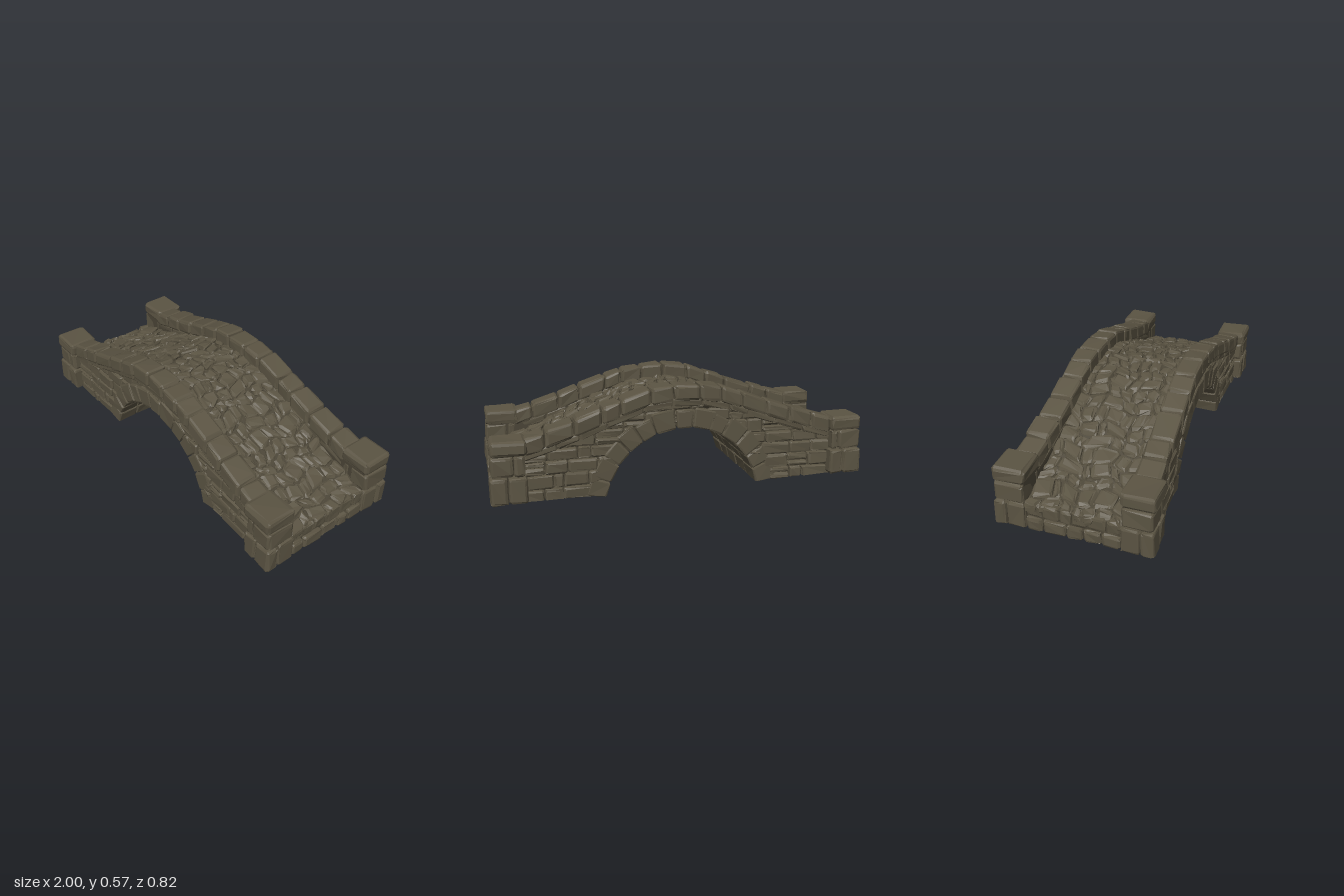
import * as THREE from 'three';
import { mergeGeometries } from 'three/addons/utils/BufferGeometryUtils.js';
import { RoundedBoxGeometry } from 'three/addons/geometries/RoundedBoxGeometry.js';

// Seeded random numbers
let seed = 7;
const rnd = () => {
  seed = (seed * 16807) % 2147483647;
  return seed / 2147483647;
};

// Profiles sampled every 0.2 from the crown to the end
const TOP = [0.568, 0.545, 0.475, 0.405, 0.345, 0.32];
const DECK = [0.502, 0.474, 0.4, 0.31, 0.225, 0.172];
const sample = (table, x) => {
  const t = Math.min(Math.abs(x), 0.9999) * 5, i = Math.floor(t);
  return THREE.MathUtils.lerp(table[i], table[i + 1], t - i);
};
const top = (x) => sample(TOP, x);
const deck = (x) => sample(DECK, x);
const halfWidth = (x) => 0.345 + 0.035 * x * x;
const shift = (x) => 0.01 * Math.max(0, 1 - x * x);
const base = (x) => Math.max(0, 0.05 * (Math.abs(x) - 0.4));

// Arch circle
const CY = -0.09, R_IN = 0.42, R_OUT = 0.54, R_MID = 0.48;

// Uneven divisions of a range
function divide(a, b, n, wobble = 0.5) {
  const edges = [];
  for (let i = 0; i <= n; i++) {
    const free = i > 0 && i < n ? (rnd() - 0.5) * wobble : 0;
    edges.push(a + ((b - a) * (i + free)) / n);
  }
  return edges;
}

// One chipped stone: a chamfered block, roughened, then bent by map(a, b, c)
function stone(list, [a0, a1], [b0, b1], [c0, c1], map = (a, b, c) => [a, b, c], { round = 0.014, rough = 0.007, gap = 0.002 } = {}) {
  const g = new RoundedBoxGeometry(a1 - a0 - gap * 2, b1 - b0 - gap * 2, c1 - c0 - gap * 2, 1, round);
  g.deleteAttribute('uv');
  const p = g.attributes.position, s = rnd() * 100;
  const hash = (x, y, z, k) => {
    const h = Math.sin(x * 12.9 + y * 78.2 + z * 37.7 + k * 11.3 + s) * 4375.85;
    return (h - Math.floor(h) - 0.5) * rough;
  };
  for (let i = 0; i < p.count; i++) {
    const v = [p.getX(i), p.getY(i), p.getZ(i)];
    const key = v.map((n) => Math.round(n * 2000));
    const q = v.map((n, k) => n + hash(...key, k));
    p.setXYZ(i, ...map(q[0] + (a0 + a1) / 2, q[1] + (b0 + b1) / 2, q[2] + (c0 + c1) / 2));
  }
  // Turn the faces outward again when the map mirrors the block
  const A = new THREE.Vector3(), B = new THREE.Vector3(), C = new THREE.Vector3();
  let volume = 0;
  for (let i = 0; i < p.count; i += 3) {
    A.fromBufferAttribute(p, i);
    volume += A.dot(B.fromBufferAttribute(p, i + 1).cross(C.fromBufferAttribute(p, i + 2)));
  }
  if (volume < 0) {
    for (let i = 0; i < p.count; i += 3) {
      B.fromBufferAttribute(p, i + 1);
      C.fromBufferAttribute(p, i + 2);
      p.setXYZ(i + 1, C.x, C.y, C.z);
      p.setXYZ(i + 2, B.x, B.y, B.z);
    }
  }
  g.computeVertexNormals();
  list.push(g);
}

// Solid fill with the arch cut out beneath
function core(topAt, z0, z1) {
  const s = new THREE.Shape();
  const r = 0.435, a = Math.asin((0.008 - CY) / r);
  s.moveTo(-0.97, 0.034);
  for (let i = 0; i <= 24; i++) {
    const t = Math.PI - a - ((Math.PI - 2 * a) * i) / 24;
    s.lineTo(r * Math.cos(t), CY + r * Math.sin(t));
  }
  s.lineTo(0.97, 0.034);
  for (let i = 0; i <= 20; i++) s.lineTo(0.97 - i * 0.097, topAt(0.97 - i * 0.097));
  const g = new THREE.ExtrudeGeometry(s, { depth: z1 - z0, bevelEnabled: false });
  const p = g.translate(0, 0, z0).attributes.position;
  for (let i = 0; i < p.count; i++) p.setZ(i, p.getZ(i) + shift(p.getX(i)));
  return g;
}

export function createModel() {
  const stoneMat = new THREE.MeshStandardMaterial({ color: 0x5b5443 });
  stoneMat.name = 'stone';
  stoneMat.flatShading = true;
  const mortar = new THREE.MeshStandardMaterial({ color: 0x4b4537 });
  mortar.name = 'mortar';
  const group = new THREE.Group();
  group.name = 'stoneBridge';
  const add = (name, geos, mat = stoneMat) => {
    const mesh = new THREE.Mesh(mergeGeometries(geos), mat);
    mesh.name = name;
    group.add(mesh);
  };

  // Fill behind the stones
  add('bridgeCore', [
    core((x) => deck(x) - 0.014, -0.312, 0.312),
    core((x) => top(x) - 0.035, 0.245, 0.312),
    core((x) => top(x) - 0.035, -0.312, -0.245),
  ], mortar);

  // Deck cobbles
  const cobbles = [];
  const rows = divide(-0.98, 0.98, 27, 0.4);
  const onDeck = (a, b, c) => {
    const x = THREE.MathUtils.clamp(a + 0.016 * Math.sin(c * 27 + a * 9), -0.985, 0.985);
    return [x, deck(x) + b, c + 0.012 * Math.sin(a * 31 + c * 8) + shift(x)];
  };
  for (let i = 0; i < 27; i++) {
    const n = 6 + Math.floor(rnd() * 3), cols = divide(-0.25, 0.25, n, 0.65);
    for (let j = 0; j < n; j++) {
      stone(cobbles, [rows[i], rows[i + 1]], [-0.045, 0.003 + rnd() * 0.008], [cols[j], cols[j + 1]], onDeck, { round: 0.016, rough: 0.011 });
    }
  }
  add('deckCobbles', cobbles);

  // Arch ring and barrel
  const arch = [];
  const start = 0.19 * R_MID, end = (Math.PI - 0.19) * R_MID;
  const onArch = (a, b, c) => {
    const t = a / R_MID, x = b * Math.cos(t);
    return [x, Math.max(0, CY + b * Math.sin(t)), c + shift(x)];
  };
  const wedges = divide(start, end, 13, 0.25);
  for (let i = 0; i < 13; i++) {
    const cols = [-0.337, ...divide(-0.21 + rnd() * 0.04, 0.19 + rnd() * 0.04, 3, 0.4), 0.337];
    for (let j = 0; j < cols.length - 1; j++) {
      const inset = j === 0 || j === cols.length - 2 ? 0 : 0.003;
      stone(arch, [wedges[i], wedges[i + 1]], [R_IN + inset, R_OUT - 0.02 + rnd() * 0.02], [cols[j], cols[j + 1]], onArch, { round: 0.01, rough: 0.005 });
    }
  }
  add('archStones', arch);

  for (const side of [1, -1]) {
    const label = side > 0 ? 'front' : 'back';

    // Side wall courses, trimmed by the arch, the ground and the coping
    const wall = [];
    const onWall = (a, b, c) => {
      let x = a, y = Math.min(Math.max(b, base(a)), top(a) - 0.07);
      const r = Math.hypot(x, y - CY);
      if (r < 0.45) {
        x *= 0.45 / r;
        y = CY + ((y - CY) * 0.45) / r;
      }
      return [x, y, side * (halfWidth(a) - 0.02 + c) + shift(a)];
    };
    const courses = divide(0, 0.5, 7, 0.25);
    for (let i = 0; i < 7; i++) {
      const xs = divide(-0.84, 0.84, 14, 0.75);
      for (let j = 0; j < 14; j++) {
        const far = Math.max(Math.abs(xs[j]), Math.abs(xs[j + 1]));
        const near = Math.min(Math.abs(xs[j]), Math.abs(xs[j + 1]));
        if (Math.hypot(far, courses[i + 1] - CY) < 0.52 || courses[i] > top(near) - 0.09) continue;
        // Some stones are split into two thin ones
        const cuts = rnd() < 0.25 ? divide(courses[i], courses[i + 1], 2) : [courses[i], courses[i + 1]];
        for (let k = 0; k < cuts.length - 1; k++) {
          stone(wall, [xs[j], xs[j + 1]], [cuts[k], cuts[k + 1]], [-0.06, rnd() * 0.008], onWall, { round: 0.011 });
        }
      }
    }
    add(label + 'WallStones', wall);

    // String course and coping of the parapet
    const parapet = [];
    const onParapet = (a, b, c) => {
      const inner = 0.222 + 0.025 * a * a;
      return [a, top(a) + b, side * (inner + (c / 0.12) * (halfWidth(a) - inner)) + shift(a)];
    };
    const thin = divide(-0.83, 0.83, 11, 0.4);
    for (let i = 0; i < 11; i++) {
      stone(parapet, [thin[i], thin[i + 1]], [-0.115, -0.07], [0.004, 0.111], onParapet, { round: 0.01, rough: 0.005 });
    }
    const caps = divide(-0.83, 0.83, 13, 0.4);
    for (let i = 0; i < 13; i++) {
      stone(parapet, [caps[i], caps[i + 1]], [-0.085, 0.002 + rnd() * 0.007], [0, 0.12 + rnd() * 0.005], onParapet, { round: 0.016 });
    }
    add(label + 'Parapet', parapet);

    // End pillars
    for (const hand of [1, -1]) {
      const pillar = [];
      const place = (a, b, c) => [hand * a, b, side * c];
      const split = 0.88 + rnd() * 0.04;
      stone(pillar, [0.815, split], [0.027, 0.165], [0.24, 0.403], place);
      stone(pillar, [split, 1.0], [0.027, 0.168], [0.335, 0.405], place);
      stone(pillar, [split, 0.998], [0.027, 0.172], [0.235, 0.335], place);
      stone(pillar, [0.82, split - 0.03], [0.165, 0.275], [0.24, 0.395], place);
      stone(pillar, [split - 0.03, 0.992], [0.168, 0.275], [0.24, 0.398], place);
      stone(pillar, [0.808, 0.99], [0.272, 0.352], [0.233, 0.407], place, { round: 0.018 });
      add(label + (hand > 0 ? 'Left' : 'Right') + 'Pillar', pillar);
    }
  }

  // Stones closing each end of the deck
  for (const hand of [1, -1]) {
    const sill = [];
    const place = (a, b, c) => [hand * a, b, c];
    [[0.027, 0.1], [0.1, 0.178]].forEach((course, k) => {
      const zs = divide(-0.24, 0.24, 5 + k, 0.4);
      for (let i = 0; i < 5 + k; i++) {
        stone(sill, [0.9, 0.997 - k * 0.008 - rnd() * 0.008], course, [zs[i], zs[i + 1]], place);
      }
    });
    add((hand > 0 ? 'left' : 'right') + 'EndStones', sill);
  }
  return group;
}
